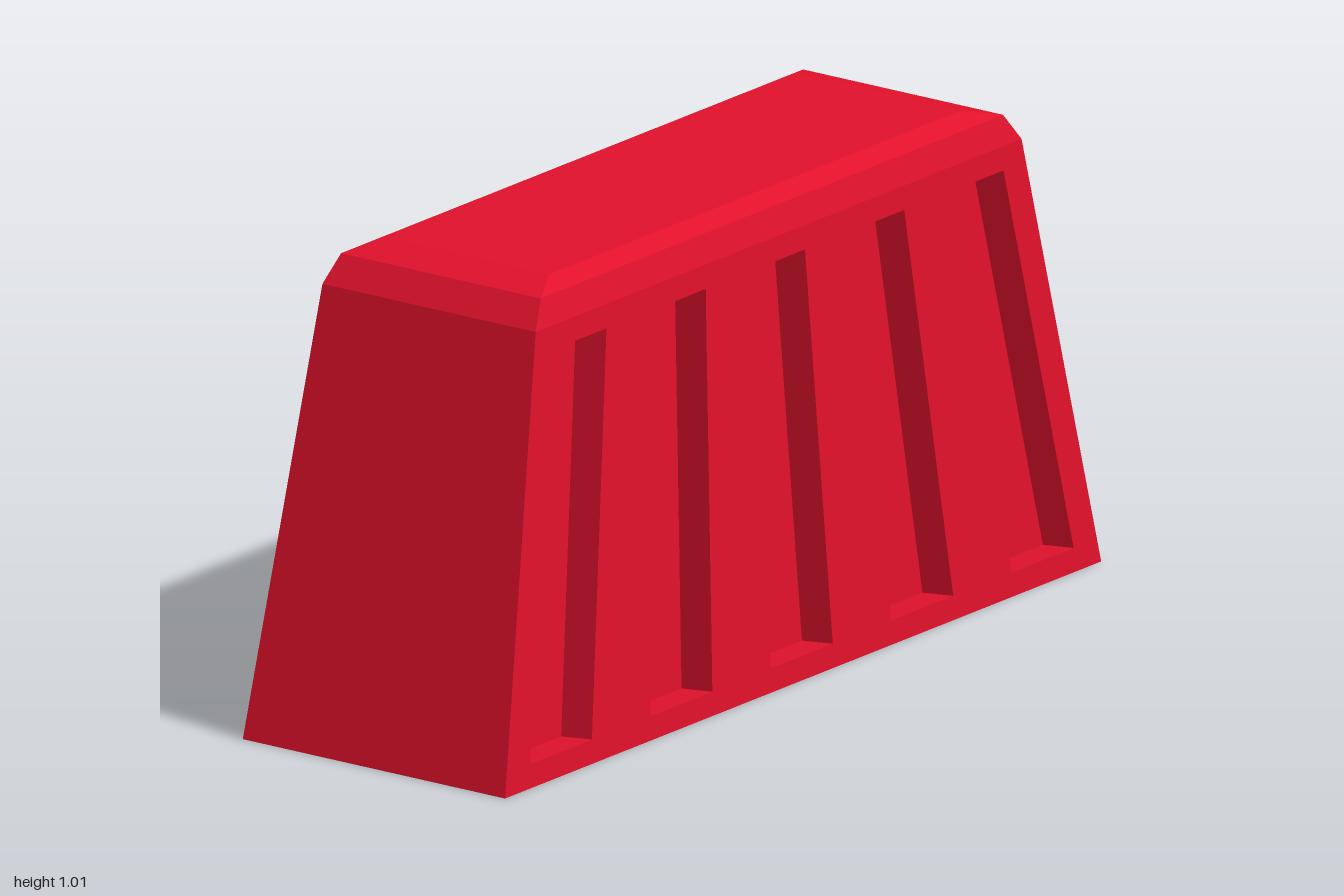
import * as THREE from 'three';

const red = new THREE.MeshStandardMaterial({ color: 0xe0112b, flatShading: true });
const slate = new THREE.MeshStandardMaterial({ color: 0x526a80, flatShading: true });

// Mesh from a list of four-cornered faces, corners counter-clockwise from outside
function quadMesh(name, quads, material) {
  const pos = [];
  for (const [a, b, c, d] of quads) pos.push(...a, ...b, ...c, ...a, ...c, ...d);
  const geo = new THREE.BufferGeometry();
  geo.setAttribute('position', new THREE.Float32BufferAttribute(pos, 3));
  geo.computeVertexNormals();
  const mesh = new THREE.Mesh(geo, material);
  mesh.name = name;
  return mesh;
}

// Half width, height, half length of each level of the tapered body
const levels = [[0.332, 0, 1], [0.27, 0.93, 0.815], [0.253, 0.988, 0.775], [0.21, 1.01, 0.69]];
const sideX = (y) => 0.332 - (0.062 / 0.93) * y;
const ring = ([x, y, z]) => [[x, y, z], [x, y, -z], [-x, y, -z], [-x, y, z]];

// Slot outlines on the side, as (u, y) with u running towards the back
const slots = [-2, -1, 0, 1, 2].map((k) => {
  const low = k * 0.404, high = k * 0.333;
  return [[low - 0.104, 0.05], [low + 0.104, 0.05], [high + 0.084, 0.88], [high - 0.084, 0.88]];
});

// One long side: slanted panel with five recessed slots
function slottedSide(name, floorMaterial) {
  const side = new THREE.Group();
  side.name = name;
  const toShape = (pts, Type) => new Type(pts.map(([u, y]) => new THREE.Vector2(u, y)));
  const [, top] = levels;
  const panel = toShape([[-1, 0], [1, 0], [top[2], top[1]], [-top[2], top[1]]], THREE.Shape);
  panel.holes = slots.map((s) => toShape(s, THREE.Path));
  const geo = new THREE.ShapeGeometry(panel);
  const p = geo.attributes.position;
  for (let i = 0; i < p.count; i++) p.setXYZ(i, sideX(p.getY(i)), p.getY(i), -p.getX(i));
  geo.computeVertexNormals();
  const panelMesh = new THREE.Mesh(geo, red);
  panelMesh.name = 'sidePanel';

  const walls = [], floors = [];
  for (const slot of slots) {
    const outer = slot.map(([u, y]) => [sideX(y), y, -u]);
    const inner = outer.map(([x, y, z]) => [x - 0.078, y - 0.008, z]);
    for (let i = 0; i < 4; i++) {
      const j = (i + 1) % 4;
      walls.push([outer[i], outer[j], inner[j], inner[i]]);
    }
    floors.push(inner);
  }
  side.add(panelMesh, quadMesh('slotWalls', walls, red), quadMesh('slotFloors', floors, floorMaterial));
  return side;
}

export function createModel() {
  const model = new THREE.Group();
  model.name = 'slottedBlock';

  // End faces, bevelled top edges, top and underside
  const rings = levels.map(ring);
  const ends = [], bevels = [];
  for (let l = 0; l < 3; l++) {
    for (let i = 0; i < 4; i++) {
      if (l === 0 && i % 2 === 0) continue; // the slotted panels fill these
      const j = (i + 1) % 4;
      (l ? bevels : ends).push([rings[l][i], rings[l][j], rings[l + 1][j], rings[l + 1][i]]);
    }
  }
  model.add(
    quadMesh('endFaces', ends, red),
    quadMesh('topBevels', bevels, red),
    quadMesh('topFace', [rings[3]], red),
    quadMesh('underside', [[...rings[0]].reverse()], red),
  );

  // Slotted long sides
  const left = slottedSide('leftSide', red);
  const right = slottedSide('rightSide', slate);
  right.rotation.y = Math.PI;
  model.add(left, right);
  return model;
}
